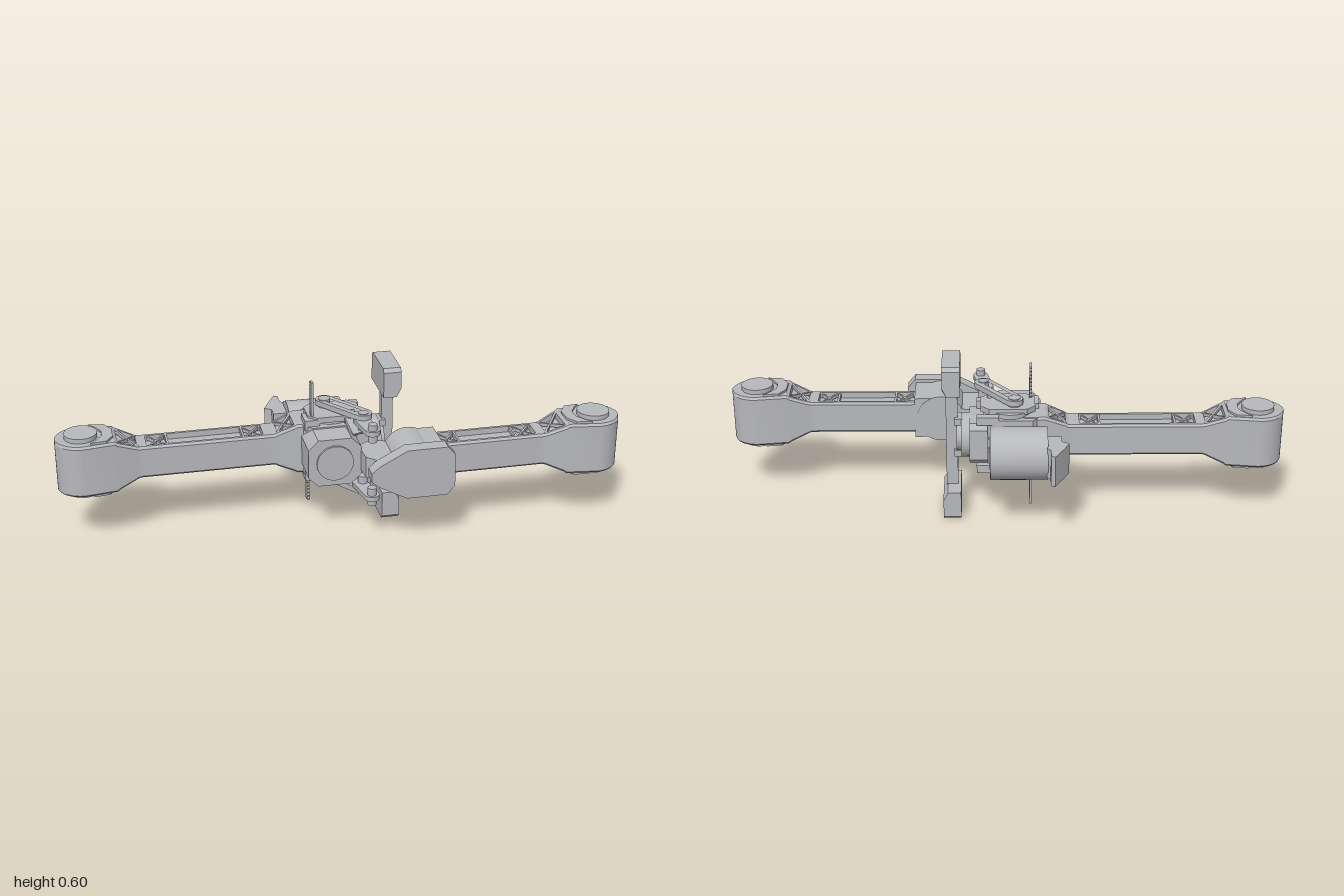
import * as THREE from 'three';
import { toCreasedNormals } from 'three/addons/utils/BufferGeometryUtils.js';
import { ConvexGeometry } from 'three/addons/geometries/ConvexGeometry.js';

const grey = new THREE.MeshStandardMaterial({ color: 0xb7b8bc });
grey.name = 'satin grey';
const MID = 0.303; // height of the arm axis

function add(parent, name, geo, x = 0, y = 0, z = 0) {
  const m = new THREE.Mesh(geo, grey);
  m.name = name;
  m.position.set(x, y, z);
  parent.add(m);
  return m;
}
const box = (p, name, x0, x1, y0, y1, z0, z1) =>
  add(p, name, new THREE.BoxGeometry(x1 - x0, y1 - y0, z1 - z0), (x0 + x1) / 2, (y0 + y1) / 2, (z0 + z1) / 2);

// Cylinder between two coordinates along an axis; c holds the centre
function rod(p, name, axis, r, from, to, c) {
  const g = new THREE.CylinderGeometry(r, r, to - from, 40);
  if (axis === 'x') g.rotateZ(Math.PI / 2);
  if (axis === 'z') g.rotateX(Math.PI / 2);
  const m = add(p, name, g, ...c);
  m.position[axis] = (from + to) / 2;
  return m;
}

// Outline extruded along an axis: points are (x,z) for y, (z,y) for x, (x,y) for z
function prism(p, name, axis, pts, from, to, holes = []) {
  const map = ([a, b]) => axis === 'y' ? new THREE.Vector2(a, -b)
    : axis === 'x' ? new THREE.Vector2(-a, b) : new THREE.Vector2(a, b);
  const s = new THREE.Shape(pts.map(map));
  s.holes = holes.map(h => new THREE.Path(h.map(map)));
  const g = new THREE.ExtrudeGeometry(s, { depth: to - from, bevelEnabled: false });
  g.translate(0, 0, from);
  if (axis === 'y') g.rotateX(-Math.PI / 2);
  if (axis === 'x') g.rotateY(Math.PI / 2);
  return add(p, name, toCreasedNormals(g, 0.6));
}

// Rounded slot outline between two points
function slot(a, b, r) {
  const t = Math.atan2(b[1] - a[1], b[0] - a[0]), pts = [];
  for (let i = 0; i <= 20; i++) {
    const c = i <= 10 ? b : a, k = i <= 10 ? i : i - 1;
    const q = t - Math.PI / 2 + (k / 10) * Math.PI + (i > 10 ? 0.1 * Math.PI : 0);
    pts.push([c[0] + r * Math.cos(q), c[1] + r * Math.sin(q)]);
  }
  return pts;
}

// Rectangle with cut corners
const cutRect = (a0, a1, b0, b1, c) => [[a0 + c, b0], [a1 - c, b0], [a1, b0 + c], [a1, b1 - c],
  [a1 - c, b1], [a0 + c, b1], [a0, b1 - c], [a0, b0 + c]];

// Square bar between two points
function beam(p, name, a, b, w, h) {
  const A = new THREE.Vector3(...a), B = new THREE.Vector3(...b);
  const m = add(p, name, new THREE.BoxGeometry(w, h, A.distanceTo(B)));
  m.position.copy(A).lerp(B, 0.5);
  const d = B.sub(A).normalize();
  m.quaternion.setFromRotationMatrix(new THREE.Matrix4().lookAt(d, new THREE.Vector3(), new THREE.Vector3(0, 1, 0)));
  return m;
}

// Lofted arm body: stations are [s, half width, half height, pocket depth]
function armGeometry(stations) {
  const rings = stations.map(([s, w, h, d]) => {
    const c = Math.min(0.008, w * 0.3), g = Math.max(w - 0.018, w * 0.2);
    return [[w, -h + c], [w, h - c], [w - c, h], [g, h], [g, h - d], [-g, h - d], [-g, h], [-w + c, h],
      [-w, h - c], [-w, -h + c], [-w + c, -h], [-g, -h], [-g, -h + d], [g, -h + d], [g, -h], [w - c, -h]]
      .map(([z, y]) => [s, y, z]);
  });
  const v = [], n = 16, tri = (...t) => t.forEach(q => v.push(...q));
  for (let i = 0; i < rings.length - 1; i++) for (let j = 0; j < n; j++) {
    const a = rings[i][j], b = rings[i][(j + 1) % n], c = rings[i + 1][j], d = rings[i + 1][(j + 1) % n];
    tri(a, c, b); tri(b, c, d);
  }
  const f = rings[0], l = rings[rings.length - 1];
  for (let j = 1; j < n - 1; j++) { tri(f[0], f[j], f[j + 1]); tri(l[0], l[j + 1], l[j]); }
  const g = new THREE.BufferGeometry();
  g.setAttribute('position', new THREE.Float32BufferAttribute(v, 3));
  return toCreasedNormals(g, 0.35);
}

// Arm with its outer joint at the local origin, running along +x
function makeArm(name, straight, flare) {
  const arm = new THREE.Group();
  arm.name = name;
  const st = [], D = 0.022;
  for (let i = 0; i <= 12; i++) {
    const t = 0.03 + (i / 12) * (Math.PI / 2 - 0.03);
    st.push([-0.092 * Math.cos(t), 0.092 * Math.sin(t), 0.097, 0]);
  }
  st.push([0.112, 0.076, 0.097, 0], [0.122, 0.074, 0.09, 0], [0.122, 0.074, 0.09, D],
    [0.19, 0.058, 0.062, D], [0.19, 0.058, 0.062, 0], [0.2, 0.056, 0.06, 0], [0.225, 0.056, 0.06, 0],
    [0.225, 0.056, 0.06, D], [straight - 0.04, 0.056, 0.06, D], [straight - 0.04, 0.056, 0.06, 0], [straight, 0.056, 0.06, 0]);
  if (flare) st.push([straight + 0.01, 0.058, 0.066, 0], [straight + 0.01, 0.058, 0.066, D],
    [straight + 0.07, 0.066, 0.09, D], [straight + 0.07, 0.066, 0.09, 0], [straight + 0.08, 0.068, 0.095, 0], [straight + 0.16, 0.07, 0.095, 0]);
  add(arm, 'armBody', armGeometry(st));
  for (const k of [1, -1]) {
    // Joint caps and their raised collars
    rod(arm, 'jointCap', 'y', 0.058, k > 0 ? 0.09 : -0.114, k > 0 ? 0.114 : -0.09, [0, 0, 0]);
    prism(arm, 'jointCollar', 'y', [[0.03, -0.077], [0.085, -0.07], [0.11, -0.03], [0.11, 0.03], [0.085, 0.07], [0.03, 0.077],
      [0.05, 0.055], [0.072, 0.02], [0.072, -0.02], [0.05, -0.055]], k > 0 ? 0.09 : -0.105, k > 0 ? 0.105 : -0.09);
    // Cross bracing inside the pockets
    for (const q of [1, -1]) {
      beam(arm, 'taperBrace', [0.122, k * 0.084, q * 0.054], [0.192, k * 0.056, -q * 0.042], 0.008, 0.012);
      if (flare) beam(arm, 'rootBrace', [straight + 0.01, k * 0.06, q * 0.04], [straight + 0.07, k * 0.084, -q * 0.046], 0.008, 0.012);
      for (const x of [0.235, straight - 0.105])
        beam(arm, 'pocketBrace', [x, k * 0.05, q * 0.036], [x + 0.055, k * 0.05, -q * 0.036], 0.007, 0.012);
    }
    for (const x of [0.295, straight - 0.115]) box(arm, 'pocketRib', x, x + 0.008, k * 0.05 - 0.009, k * 0.05 + 0.009, -0.038, 0.038);
  }
  return arm;
}

export function createModel() {
  const model = new THREE.Group();
  model.name = 'jointedMechanism';

  // Two long arms, offset in depth
  const rightArm = makeArm('rightArm', 0.68, true);
  rightArm.position.set(-0.908, MID, -0.022);
  const leftArm = makeArm('leftArm', 0.62, false);
  leftArm.position.set(0.908, MID, 0.178);
  leftArm.rotation.y = Math.PI;
  model.add(rightArm, leftArm);

  // Root of the left arm with its long cover plate
  rod(model, 'armRootDrum', 'z', 0.088, 0.118, 0.27, [0.232, 0.3, 0]);
  box(model, 'armRootBlock', 0.2, 0.328, 0.225, 0.38, 0.12, 0.265);
  prism(model, 'rootCover', 'z', [[0.058, 0.285], [0.085, 0.262], [0.185, 0.208], [0.33, 0.208], [0.358, 0.24],
    [0.358, 0.36], [0.33, 0.393], [0.185, 0.393], [0.085, 0.34], [0.058, 0.317]], 0.265, 0.317);
  prism(model, 'rootBracket', 'y', [[0.05, 0.13], [0.1, 0.1], [0.2, 0.13], [0.2, 0.26], [0.09, 0.262], [0.058, 0.23]], 0.262, 0.34);

  // Central gearbox, hub and front motor
  prism(model, 'centralHousing', 'y', cutRect(-0.13, 0.075, -0.105, 0.075, 0.03), 0.205, 0.395);
  rod(model, 'hub', 'y', 0.075, 0.188, 0.412, [-0.02, 0, -0.02]);
  prism(model, 'frontMotorBlock', 'z', cutRect(-0.135, 0.055, 0.212, 0.39, 0.035), 0.03, 0.17);
  rod(model, 'frontMotorFace', 'z', 0.066, 0.16, 0.178, [-0.04, 0.3, 0]);

  // Side drive behind the gripper bar
  rod(model, 'sideDrive', 'x', 0.08, 0.05, 0.155, [0, 0.3, -0.015]);
  rod(model, 'sideDriveFace', 'x', 0.056, 0.15, 0.172, [0, 0.3, -0.015]);
  prism(model, 'sideFlange', 'x', cutRect(-0.108, 0.075, 0.222, 0.378, 0.02), 0.06, 0.125);
  for (const k of [1, -1]) for (const z of [-0.095, 0.05])
    box(model, 'flangeCorner', 0.02, 0.1, 0.3 + k * 0.094 - 0.015, 0.3 + k * 0.094 + 0.015, z - 0.014, z + 0.014);

  // Back motor with flared end
  rod(model, 'backMotor', 'x', 0.094, -0.15, 0.052, [0, 0.298, -0.166]);
  rod(model, 'backMotorFace', 'x', 0.057, 0.05, 0.055, [0, 0.298, -0.166]);
  prism(model, 'flaredCap', 'y', [[-0.225, -0.212], [-0.205, -0.255], [-0.172, -0.317], [-0.158, -0.31], [-0.158, -0.262],
    [-0.146, -0.25], [-0.146, -0.155], [-0.2, -0.155], [-0.2, -0.195]], 0.242, 0.357);

  // Gripper bar and its two chamfered pads
  box(model, 'gripperBar', 0.168, 0.21, 0.095, 0.501, -0.03, 0);
  for (const k of [1, -1]) {
    const pts = [], mirror = y => k > 0 ? y : 0.596 - y;
    for (const [x, y0] of [[0.157, 0.488], [0.205, 0.488], [0.221, 0.507]])
      for (const [z, y] of cutRect(-0.107, 0.075, y0, 0.596, 0.013))
        pts.push(new THREE.Vector3(x, mirror(y0 < y && y < 0.52 && x < 0.21 ? 0.488 : y), z));
    add(model, k > 0 ? 'upperPad' : 'lowerPad', new ConvexGeometry(pts));
    box(model, 'barClamp', 0.15, 0.18, 0.3 + k * 0.062 - 0.012, 0.3 + k * 0.062 + 0.012, -0.045, 0.015);
  }

  // Toothed racks, one up and one down
  const rack = (name, y0, y1, back, edge) => {
    const pts = [[back, y1], [back, y0]], n = Math.round((y1 - y0) / 0.014), s = (y1 - y0) / n;
    const root = edge + Math.sign(back - edge) * 0.01;
    for (let i = 0; i < n; i++) {
      const y = y0 + i * s;
      pts.push([root, y + 0.001], [edge, y + s * 0.35], [edge, y + s * 0.65], [root, y + s * 0.95]);
    }
    prism(model, name, 'x', back < edge ? pts : pts.reverse(), -0.099, -0.09);
  };
  rack('upperRack', 0.36, 0.556, 0.041, 0.01);
  rack('lowerRack', 0.045, 0.24, -0.073, -0.04);

  // Diagonal linkages above and below the gearbox
  for (const k of [1, -1]) {
    const link = new THREE.Group();
    link.name = k > 0 ? 'upperLinkage' : 'lowerLinkage';
    model.add(link);
    const span = (lo, hi) => k > 0 ? [0.3 + lo, 0.3 + hi] : [0.3 - hi, 0.3 - lo];
    prism(link, 'basePlate', 'y', cutRect(-0.11, 0.085, -0.075, 0.06, 0.03), ...span(0.105, 0.126));
    prism(link, 'slottedLink', 'y', slot([-0.035, -0.04], [0.075, 0.105], 0.032), ...span(0.134, 0.154),
      [slot([-0.022, -0.022], [0.058, 0.083], 0.012)]);
    prism(link, 'endLink', 'y', slot([0.065, 0.11], [0.085, 0.21], 0.027), ...span(0.118, 0.136));
    for (const [x, z, r] of [[-0.035, -0.04, 0.022], [0.075, 0.11, 0.018], [0.085, 0.212, 0.016]])
      rod(link, 'pivotPin', 'y', r, ...span(0.09, 0.157), [x, 0, z]);
    // Sloping stay toward the front
    beam(link, 'slopingStay', [0.035, 0.3 + k * 0.128, 0.03], [0.06, 0.3 + k * 0.07, 0.1], 0.05, 0.014);
    box(link, 'sideLug', -0.125, -0.07, ...span(0.08, 0.118), -0.01, 0.06);
  }
  return model;
}
